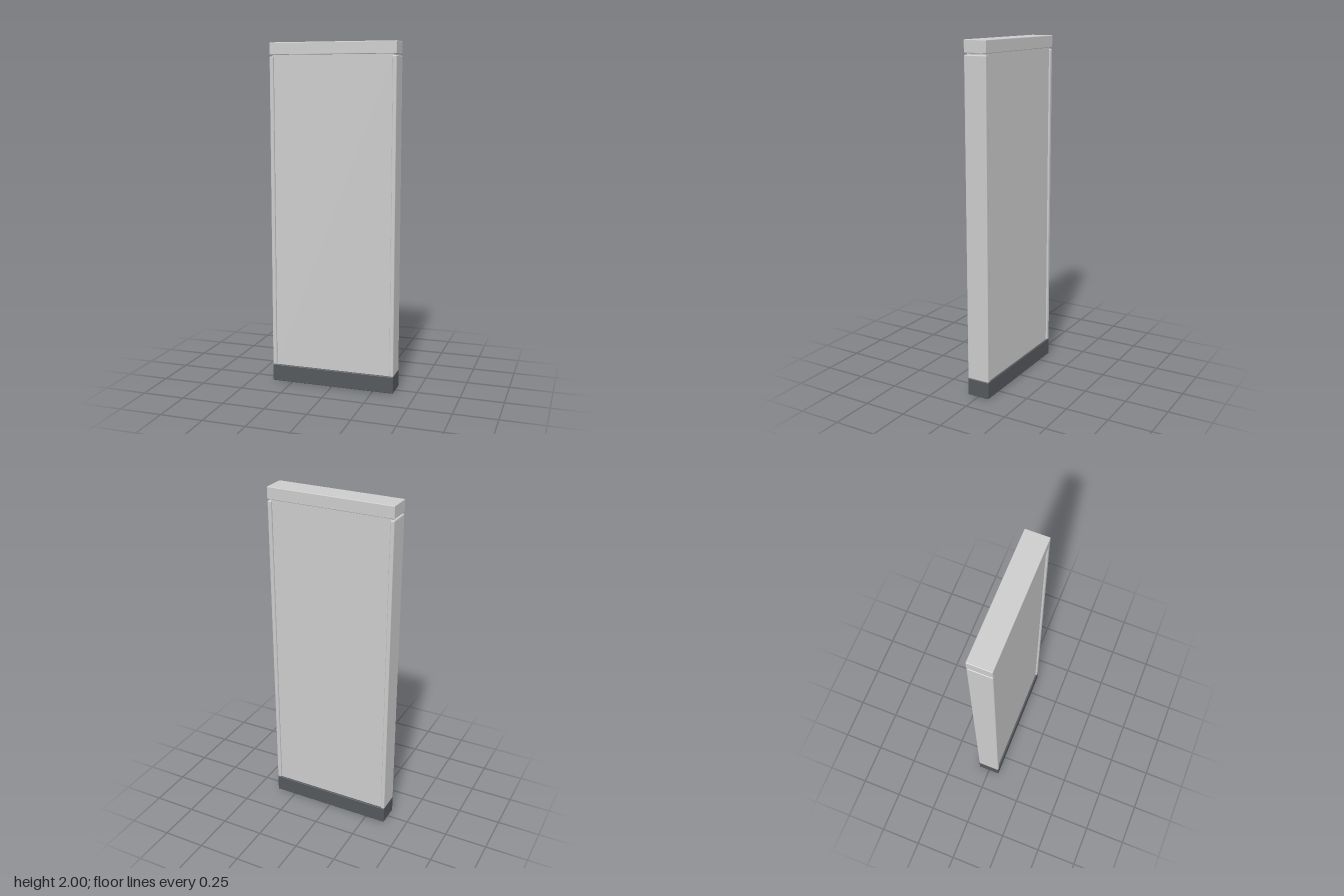
import * as THREE from 'three';
import { RoundedBoxGeometry } from 'three/addons/geometries/RoundedBoxGeometry.js';

const W = 0.744, D = 0.135; // overall width and depth

const light = new THREE.MeshStandardMaterial({ color: 0xcccccc });
const dark = new THREE.MeshStandardMaterial({ color: 0x55585c });

// Box with softened edges, spanning y0 to y1
function slab(name, width, y0, y1, depth, edge, material, x = 0) {
  const geometry = new RoundedBoxGeometry(width, y1 - y0, depth, 2, edge);
  const mesh = new THREE.Mesh(geometry, material);
  mesh.name = name;
  mesh.position.set(x, (y0 + y1) / 2, 0);
  return mesh;
}

export function createModel() {
  const group = new THREE.Group();
  group.name = 'freestandingPanel';

  // Dark plinth and light top cap
  group.add(slab('base', W, 0, 0.1, D, 0.004, dark));
  group.add(slab('topCap', W, 1.93, 2, D, 0.004, light));

  // Main panel, slightly recessed and filling the height between them
  const panel = new THREE.Mesh(new THREE.BoxGeometry(0.71, 1.85, 0.114), light);
  panel.name = 'panel';
  panel.position.y = 1.015;
  group.add(panel);

  // Upright edge strips, stopping just short of the cap
  for (const [name, side] of [['leftStrip', 1], ['rightStrip', -1]]) {
    group.add(slab(name, 0.024, 0.1, 1.922, D, 0.006, light, side * (W / 2 - 0.012)));
  }
  return group;
}
